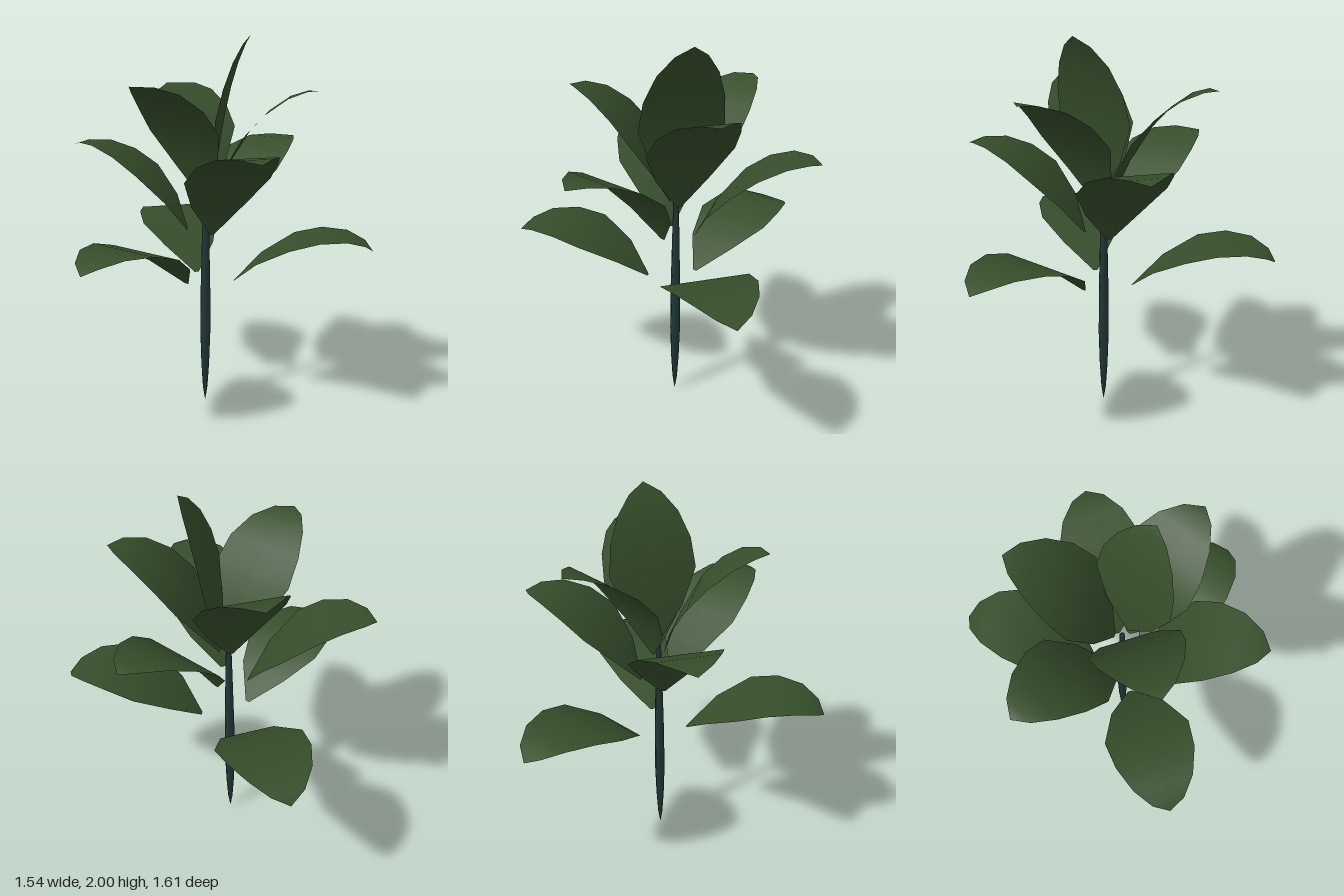
import * as THREE from 'three';

const leafGreen = new THREE.MeshStandardMaterial({ name: 'leafGreen', color: 0x354e2b, side: THREE.DoubleSide });
const stemTeal = new THREE.MeshStandardMaterial({ name: 'stemTeal', color: 0x203936 });

const deg = THREE.MathUtils.degToRad;

// One arched leaf blade, growing from its base along +z; bend scales the arch
function leafGeometry(bend) {
  const halfWidths = [0.012, 0.145, 0.2275, 0.21, 0.157, 0.083, 0];
  const lengths = [0.19, 0.2, 0.155, 0.137, 0.1, 0.058];
  const slopes = [44, 30, 15, 0, -20, -46];
  const spine = [[0, 0]];
  lengths.forEach((len, i) => {
    const [z, y] = spine[i];
    const slope = deg(slopes[i] * bend);
    spine.push([z + len * Math.cos(slope), y + len * Math.sin(slope)]);
  });
  const geo = new THREE.PlaneGeometry(2, 1, 2, 6);
  const pos = geo.attributes.position;
  for (let i = 0; i < pos.count; i++) {
    const row = Math.floor(i / 3);
    pos.setXYZ(i, pos.getX(i) * halfWidths[row], spine[row][1], spine[row][0]);
  }
  geo.computeVertexNormals();
  return geo;
}

export function createModel() {
  const plant = new THREE.Group();
  plant.name = 'plant';
  const centre = new THREE.Vector3(0.015, 0, -0.08);

  // Stem: six-sided, pointed at the foot, narrowing to the top
  const profile = [[0, 0], [0.013, 0.08], [0.022, 0.22], [0.028, 0.4], [0.027, 0.65],
    [0.021, 0.92], [0.014, 1.2], [0, 1.21]].map(([r, y]) => new THREE.Vector2(r, y));
  const stem = new THREE.Mesh(new THREE.LatheGeometry(profile, 6), stemTeal);
  stem.name = 'stem';
  stem.position.copy(centre);
  plant.add(stem);

  // Higher leaves arch less
  const lower = leafGeometry(1);
  const middle = leafGeometry(0.9);
  const upper = leafGeometry(0.8);
  const top = leafGeometry(0.35);

  // Leaves: [name, blade, heading, upward tilt, distance of base from stem, base height]
  const leaves = [
    ['lowerLeafFront', lower, 2, 0, 0.154, 0.718],
    ['lowerLeafLeft', lower, 122.5, 0, 0.154, 0.709],
    ['lowerLeafRight', lower, 241, 0, 0.154, 0.709],
    ['middleLeafLeft', middle, 62, 22, 0.1, 0.982],
    ['middleLeafBack', middle, 181, 22, 0.1, 0.982],
    ['middleLeafRight', middle, 301, 22, 0.1, 0.982],
    ['upperLeafFront', upper, 4, 37, 0.03, 1.165],
    ['upperLeafLeft', upper, 124, 35, 0.045, 1.15],
    ['upperLeafRight', upper, 239, 36, 0.04, 1.165],
    ['topLeaf', top, 125, 72, 0.04, 1.195],
  ];
  for (const [name, blade, heading, tilt, reach, height] of leaves) {
    const a = deg(heading);
    const leaf = new THREE.Mesh(blade, leafGreen);
    leaf.name = name;
    leaf.position.set(centre.x + reach * Math.sin(a), height, centre.z + reach * Math.cos(a));
    leaf.rotation.set(-deg(tilt), a, 0, 'YXZ');
    plant.add(leaf);
  }
  return plant;
}
